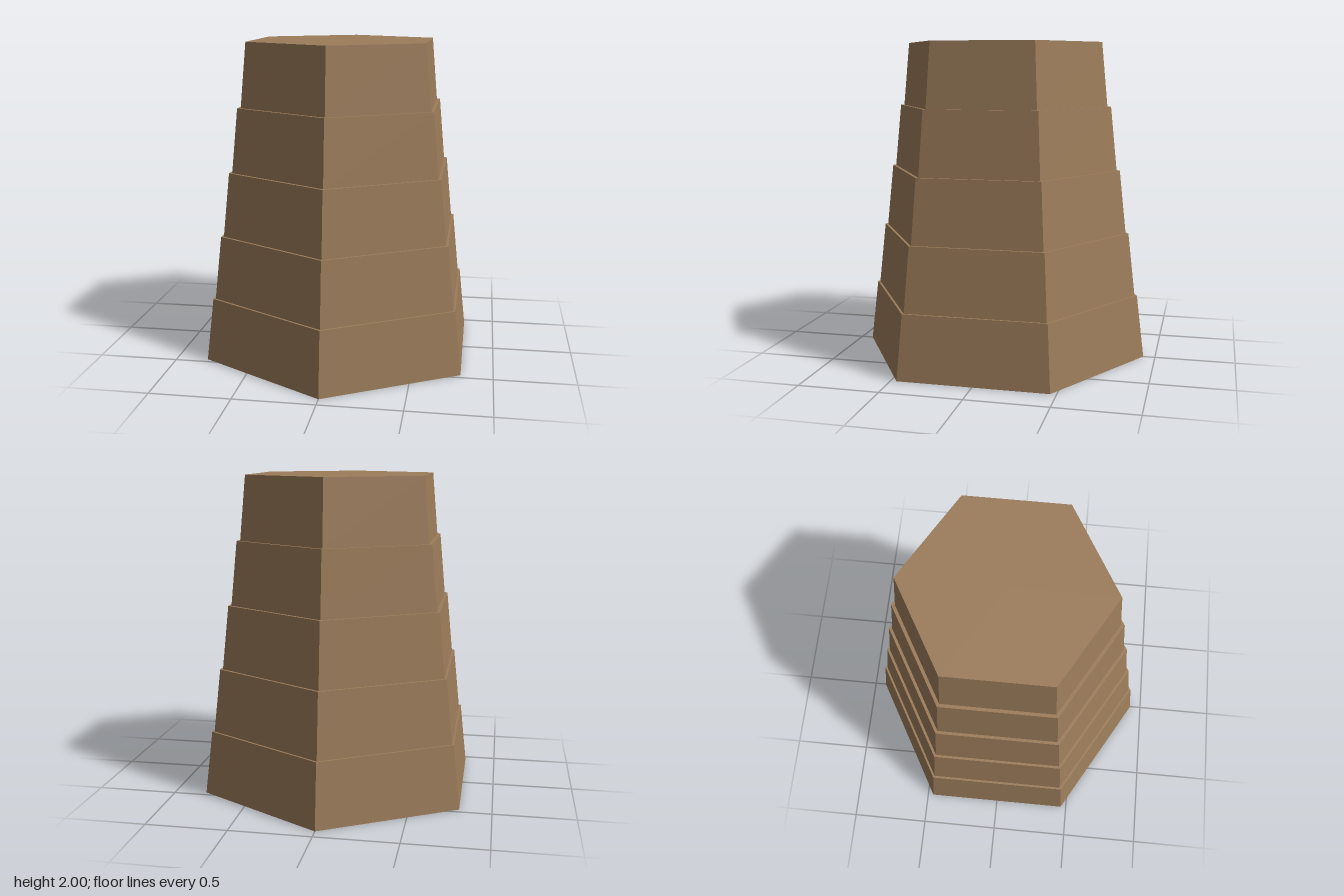
import * as THREE from 'three';

export function createModel() {
  const group = new THREE.Group();
  group.name = 'steppedHexTower';

  const clay = new THREE.MeshStandardMaterial({ color: 0x9c7c5a, flatShading: true });
  clay.name = 'tan';

  // Five tapered hexagonal tiers, each starting slightly inside the one below
  const tiers = 5;
  const height = 2 / tiers;
  for (let i = 0; i < tiers; i++) {
    const bottom = 0.926 - i * 0.0643;
    const top = 0.877 - i * 0.0618;
    const tier = new THREE.Mesh(new THREE.CylinderGeometry(top, bottom, height, 6), clay);
    tier.name = `tier${i + 1}`;
    tier.position.y = (i + 0.5) * height;
    group.add(tier);
  }
  return group;
}
